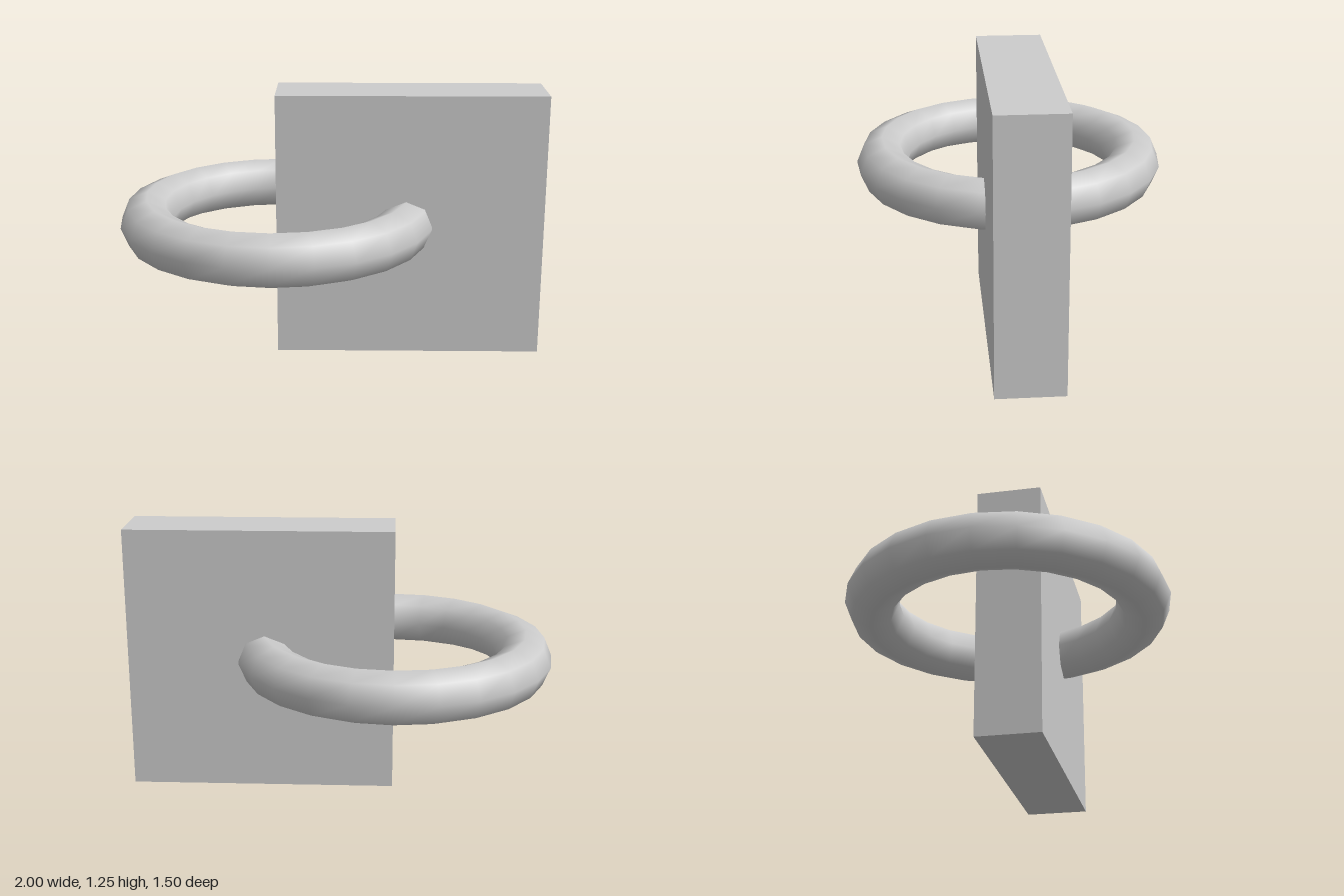
import * as THREE from 'three';

export function createModel() {
  const model = new THREE.Group();
  const grey = new THREE.MeshStandardMaterial({ color: 0xcccccc });
  grey.name = 'light grey';

  // Upright square slab
  const slab = new THREE.Mesh(new THREE.BoxGeometry(1.25, 1.25, 0.31), grey);
  slab.name = 'slab';
  slab.position.set(0.375, 0.625, 0);
  model.add(slab);

  // Horizontal ring passing through the slab
  const ring = new THREE.Mesh(new THREE.TorusGeometry(0.625, 0.125, 8, 24), grey);
  ring.name = 'ring';
  ring.rotation.x = Math.PI / 2;
  ring.position.set(-0.25, 0.625, 0);
  model.add(ring);

  return model;
}
